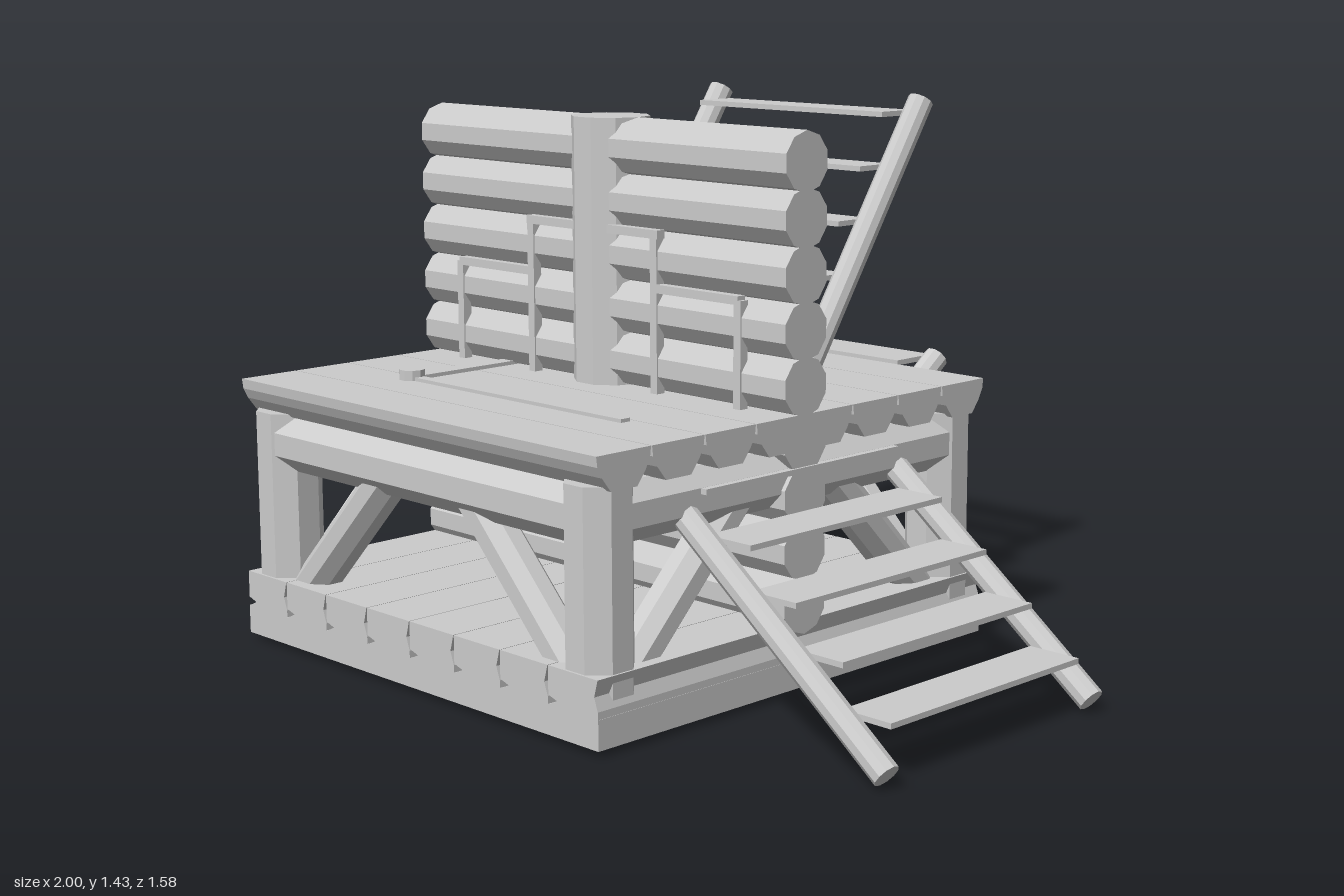
import * as THREE from 'three';

const V = (x, y, z) => new THREE.Vector3(x, y, z);
const CX = -0.31, CZ = 0.1; // middle of the square tower

// Plank cross-sections, in units of width and height
const ROUND = [[-0.5, 0], [0.5, 0], [0.48, -0.3], [0.4, -0.6], [0.24, -1], [-0.24, -1], [-0.4, -0.6], [-0.48, -0.3]];
const SLAB = [[-0.5, 0], [0.5, 0], [0.43, -0.45], [0.5, -0.8], [0.5, -1], [-0.5, -1], [-0.32, -0.85], [-0.5, -0.75]];

export function createModel() {
  const root = new THREE.Group();
  const mat = new THREE.MeshStandardMaterial({ color: 0xcccccc, flatShading: true, side: THREE.DoubleSide });

  function add(geo, name, x = 0, y = 0, z = 0) {
    const m = new THREE.Mesh(geo, mat);
    m.name = name;
    m.position.set(x, y, z);
    root.add(m);
    return m;
  }
  const box = (name, w, h, d, x, y, z) => add(new THREE.BoxGeometry(w, h, d), name, x, y, z);

  // Faceted log between two points
  function log(name, a, b, r, sides = 10) {
    const dir = b.clone().sub(a), len = dir.length();
    const geo = new THREE.CylinderGeometry(r, r, len, sides);
    geo.rotateY(Math.PI / sides);
    const m = add(geo, name);
    m.quaternion.setFromUnitVectors(V(0, 1, 0), dir.normalize());
    m.position.copy(a).add(b).multiplyScalar(0.5);
    return m;
  }

  // Plank with its flat side up, running along z
  function plank(profile, w, h, len) {
    const s = new THREE.Shape(profile.map(([x, y]) => new THREE.Vector2(x * w, y * h)));
    return new THREE.ExtrudeGeometry(s, { depth: len, bevelEnabled: false }).translate(0, 0, -len / 2);
  }

  // Decks: upper planks run along x, lower planks along z
  const SIZE = 1.38, N = 8, step = SIZE / N;
  for (let i = 0; i < N; i++) {
    const o = (i + 0.5) * step - SIZE / 2;
    add(plank(ROUND, step - 0.003, 0.088, SIZE), 'upperDeckPlank', CX, 0.71, CZ + o).rotation.y = Math.PI / 2;
    add(plank(SLAB, step - 0.002, 0.095, SIZE), 'lowerDeckPlank', CX + o, 0.19, CZ);
  }

  // Base: edge boards, log joists and short cross pieces
  for (const s of [-1, 1]) {
    box('baseEdgeBoard', SIZE, 0.075, 0.04, CX, 0.058, CZ + s * 0.67);
    box('baseEdgeBoard', 0.04, 0.075, SIZE, CX + s * 0.67, 0.058, CZ);
  }
  for (const x of [-0.69, 0.12]) log('baseCrossPiece', V(x, 0.044, 0), V(x, 0.044, 0.2), 0.036, 8);
  for (const z of [0.7, 0.3, -0.1, -0.5])
    log('baseJoist', V(CX - 0.67, 0.085, z), V(CX + 0.67, 0.085, z), 0.066, 10);
  box('basePlate', 0.43, 0.03, 0.07, CX, 0.02, 0.09);

  // Corner posts, top beams and braces
  const H = 0.605;
  for (const s of [-1, 1]) {
    const x = CX + s * H, z = CZ + s * H;
    for (const t of [-1, 1]) {
      log('cornerPost', V(x, 0.02, CZ + t * H), V(x, 0.63, CZ + t * H), 0.085, 8);
      log('braceAcross', V(CX + t * 0.53, 0.15, z), V(CX + t * 0.16, 0.53, z), 0.056, 8);
      log('braceAlong', V(x, 0.15, CZ + t * 0.53), V(x, 0.53, CZ + t * 0.16), 0.056, 8);
    }
    log('topBeamAcross', V(CX - H, 0.55, z), V(CX + H, 0.55, z), 0.079, 8);
    log('topBeamAlong', V(x, 0.55, CZ - 0.57), V(x, 0.55, CZ + 0.57), 0.079, 8);
  }

  // Log wall through the middle, with a central post
  for (let i = 0; i < 9; i++) {
    const y = 1.324 - i * 0.1365;
    log('wallLog', V(-1, y, CZ), V(0.38, y, CZ), 0.076, 10);
  }
  log('centrePost', V(CX, 0.01, CZ), V(CX, 1.4, CZ), 0.104, 10);

  // Stepped grab rails set into both faces of the wall
  for (const s of [-1, 1]) for (const t of [-1, 1]) {
    const z = CZ + t * 0.063, outer = CX + s * 0.53, inner = CX + s * 0.235;
    box('grabRailPost', 0.024, 0.27, 0.026, outer, 0.845, z);
    box('grabRailPost', 0.024, 0.41, 0.026, inner, 0.915, z);
    box('grabRailBar', 0.3, 0.022, 0.026, (outer + inner) / 2, 0.98, z);
    box('grabRailBar', 0.2, 0.022, 0.026, CX + s * 0.15, 1.117, z);
  }

  // Ladder along the side: rails and flat treads
  for (const z of [0.48, -0.275]) log('sideLadderRail', V(0.98, 0.035, z), V(0.27, 0.575, z), 0.034, 10);
  for (let i = 0; i < 5; i++)
    box('sideLadderTread', 0.145, 0.014, 0.69, 0.89 - i * 0.144, 0.137 + i * 0.109, 0.102);

  // Upper ladder standing on the deck
  for (const x of [-0.68, 0.075]) log('upperLadderRail', V(x, 0.69, -0.2), V(x, 1.42, -0.68), 0.035, 10);
  for (let i = 0; i < 5; i++)
    box('upperLadderTread', 0.69, 0.014, 0.12, -0.308, 1.385 - i * 0.14, -0.625 + i * 0.085);

  // Lower ladder rising out of the back
  for (const x of [-0.69, 0.065]) log('lowerLadderRail', V(x, 0.17, -0.06), V(x, 0.705, -0.775), 0.034, 10);
  for (let i = 0; i < 5; i++)
    box('lowerLadderTread', 0.69, 0.014, 0.145, -0.312, 0.7 - i * 0.109, -0.72 + i * 0.144);

  // Peg and low rails lying on the upper deck
  log('deckPeg', V(-0.68, 0.69, 0.475), V(-0.68, 0.737, 0.475), 0.035, 10);
  box('deckRailAlong', 0.045, 0.016, 0.68, -0.68, 0.712, 0.14);
  box('deckRailAcross', 0.8, 0.014, 0.03, -0.26, 0.712, 0.475);

  return root;
}
